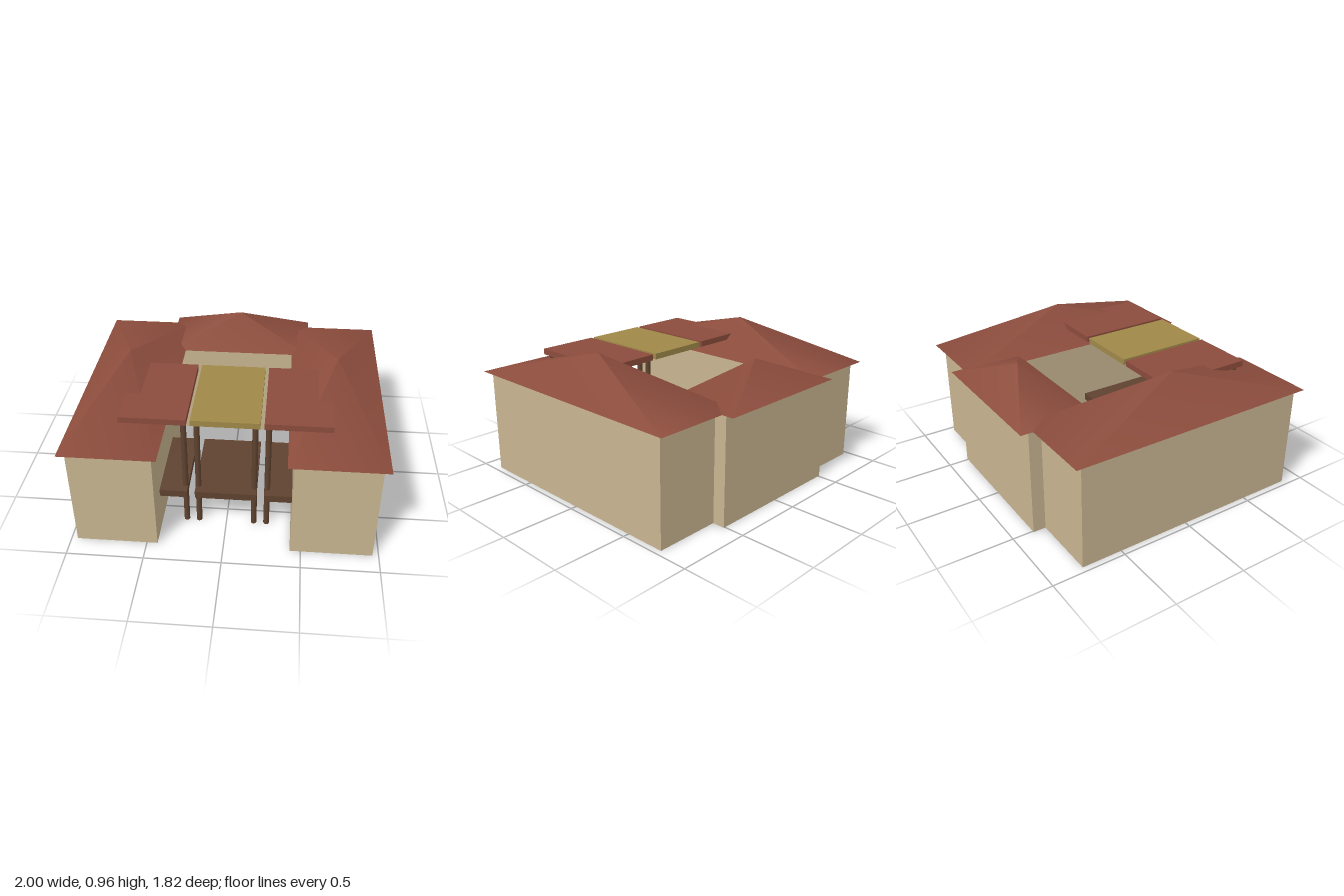
import * as THREE from 'three';

const material = (color) => new THREE.MeshStandardMaterial({ color });

export function createModel() {
  const house = new THREE.Group();
  house.name = 'courtyardHouse';
  const wall = material(0xc8b591);
  const tile = material(0x8b4c3c);
  const gold = material(0xa08848);
  const wood = material(0x5f4330);

  const add = (name, geometry, mat) => {
    const mesh = new THREE.Mesh(geometry, mat);
    mesh.name = name;
    house.add(mesh);
    return mesh;
  };
  // Box given by its limits on each axis
  const box = (name, [x0, x1], [y0, y1], [z0, z1], mat) => {
    const g = new THREE.BoxGeometry(Math.abs(x1 - x0), y1 - y0, z1 - z0);
    add(name, g, mat).position.set((x0 + x1) / 2, (y0 + y1) / 2, (z0 + z1) / 2);
  };
  // Four-sided pyramid roof with softly shaded faces
  const roof = (name, x, z, width, height, depth) => {
    const g = new THREE.ConeGeometry(Math.SQRT1_2, 1, 4).rotateY(Math.PI / 4);
    g.scale(width, height, depth);
    add(name, g, tile).position.set(x, 0.72 + height / 2, z);
  };

  // Rear block
  box('rearWalls', [-0.51, 0.51], [0, 0.72], [-0.86, -0.44], wall);
  roof('rearRoof', 0, -0.655, 1.02, 0.2, 0.51);

  // Middle canopy and deck
  box('middleCanopy', [-0.215, 0.215], [0.82, 0.86], [0.02, 0.67], gold);
  box('middleDeck', [-0.2, 0.2], [0.25, 0.3], [0.11, 0.68], wood);

  for (const s of [-1, 1]) {
    const side = s > 0 ? 'left' : 'right';
    // Side wings
    box(side + 'WingWalls', [s * 0.43, s * 0.96], [0, 0.72], [-0.775, 0.86], wall);
    roof(side + 'WingRoof', s * 0.695, 0.04, 0.61, 0.24, 1.735);
    // Side canopies and decks, reaching into the wings
    box(side + 'Canopy', [s * 0.24, s * 0.66], [0.82, 0.86], [0.02, 0.67], tile);
    box(side + 'Deck', [s * 0.25, s * 0.65], [0.25, 0.3], [0.11, 0.68], wood);
    // Posts along the front of the canopies
    for (const x of [0.183, 0.267, 0.635]) {
      const g = new THREE.CylinderGeometry(0.019, 0.019, 0.82, 8);
      add(side + 'Post', g, wood).position.set(s * x, 0.41, 0.61);
    }
  }
  return house;
}
